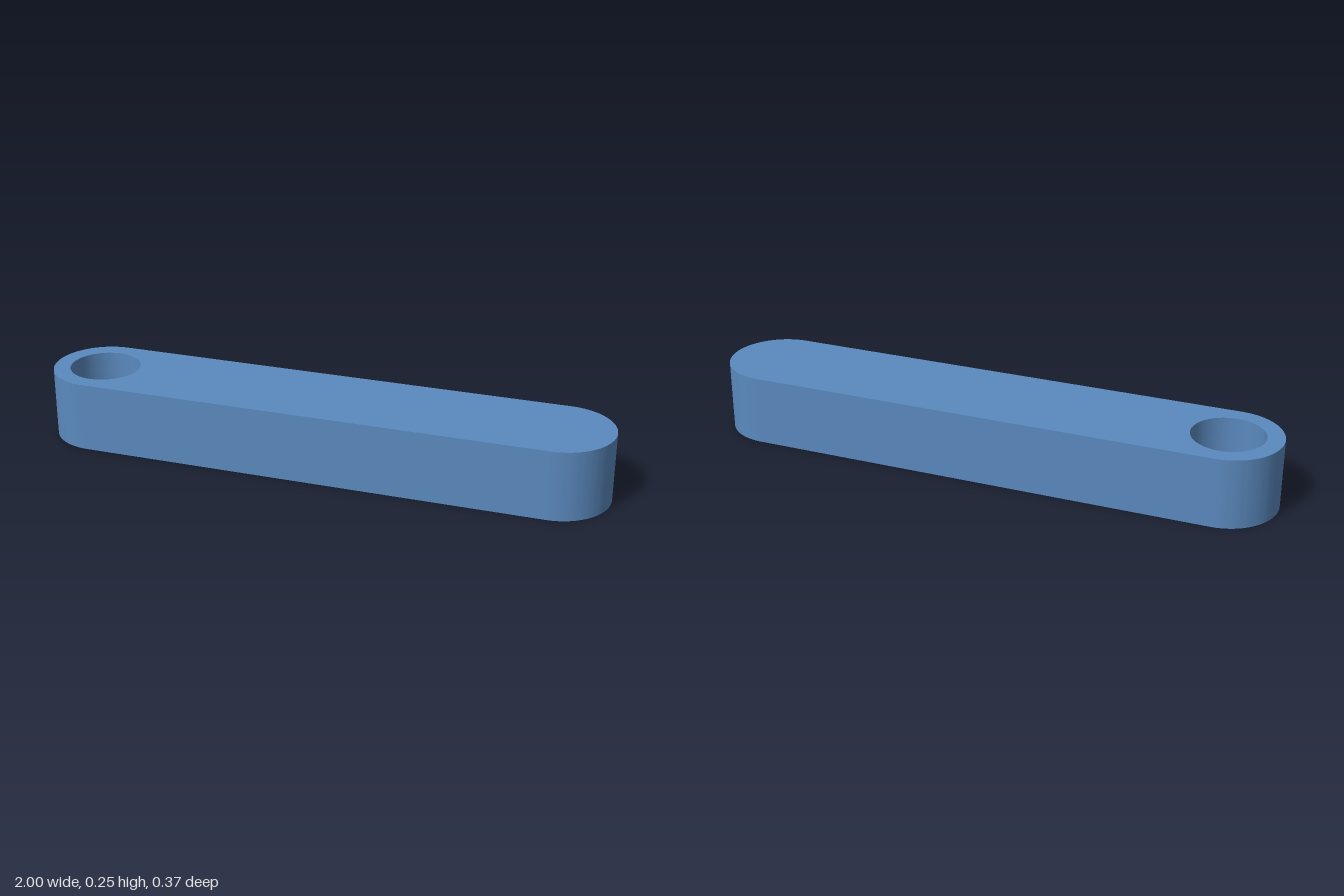
import * as THREE from 'three';
import { toCreasedNormals } from 'three/addons/utils/BufferGeometryUtils.js';

const RADIUS = 0.183;        // rounded ends
const CENTRE = 1 - RADIUS;   // distance of each end's centre from the middle
const HEIGHT = 0.245;
const HOLE_RADIUS = 0.124;

export function createModel() {
  const group = new THREE.Group();
  group.name = 'linkArm';

  // Bar outline with two round ends
  const outline = new THREE.Shape();
  outline.moveTo(-CENTRE, -RADIUS);
  outline.lineTo(CENTRE, -RADIUS);
  outline.absarc(CENTRE, 0, RADIUS, -Math.PI / 2, Math.PI / 2, false);
  outline.lineTo(-CENTRE, RADIUS);
  outline.absarc(-CENTRE, 0, RADIUS, Math.PI / 2, Math.PI * 1.5, false);

  // Through hole at the right end
  const hole = new THREE.Path();
  hole.absarc(-CENTRE, 0, HOLE_RADIUS, 0, Math.PI * 2, true);
  outline.holes.push(hole);

  // Extrude upwards, smooth around the curves and sharp at the rims
  const extruded = new THREE.ExtrudeGeometry(outline, {
    depth: HEIGHT, bevelEnabled: false, curveSegments: 32,
  });
  extruded.rotateX(-Math.PI / 2);
  const bar = new THREE.Mesh(
    toCreasedNormals(extruded, Math.PI / 6),
    new THREE.MeshStandardMaterial({ color: 0x5b8abf }),
  );
  bar.name = 'bar';
  group.add(bar);

  return group;
}
